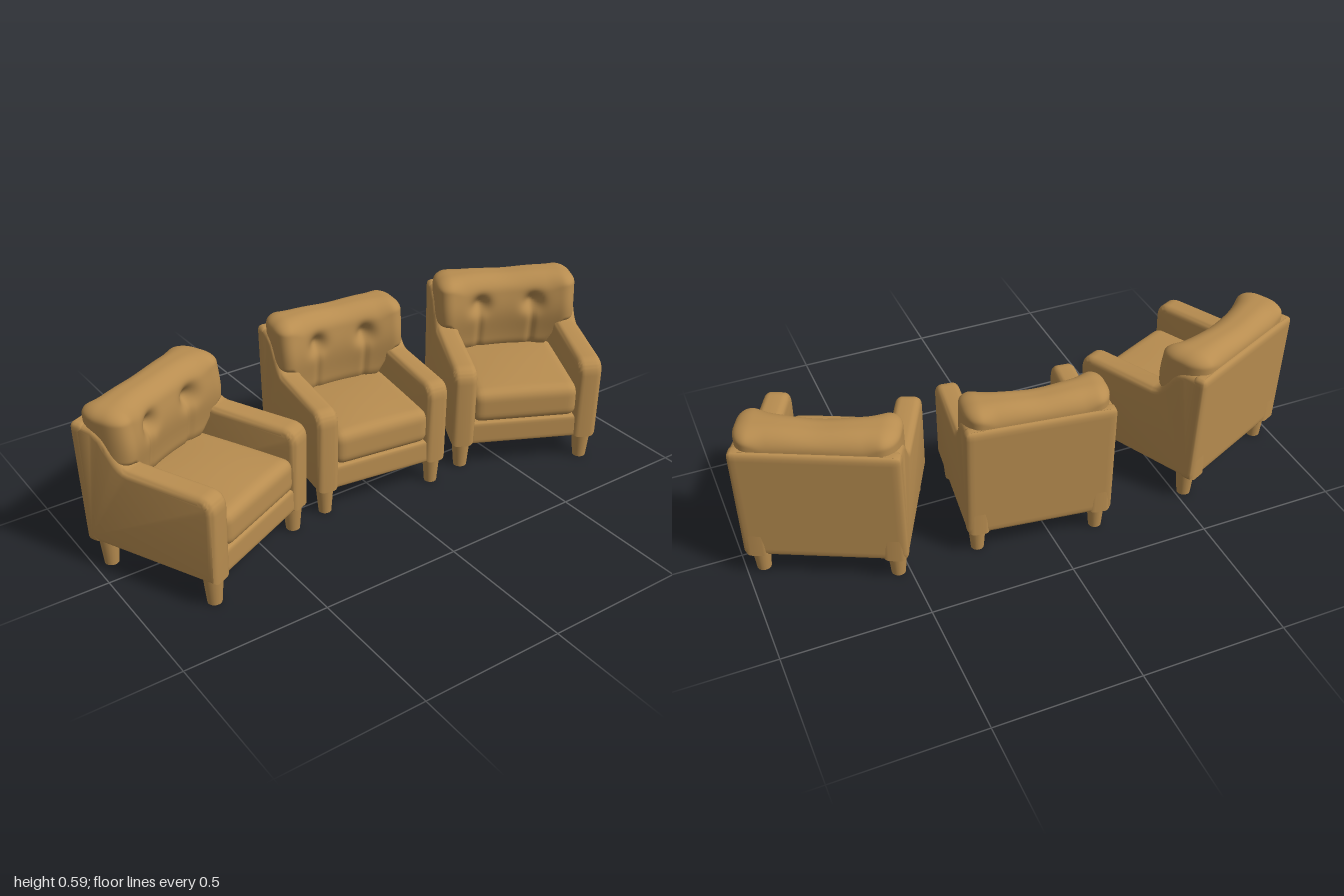
import * as THREE from 'three';
import { mergeVertices, toCreasedNormals } from 'three/addons/utils/BufferGeometryUtils.js';

const fabric = new THREE.MeshStandardMaterial({ color: 0xb88d50 });
fabric.name = 'tan';

const smooth = THREE.MathUtils.smoothstep;
const clamp = THREE.MathUtils.clamp;

// Rounded, finely divided block centred at (cx, cy, cz), reshaped by an optional rule
function softBox([w, h, d], [cx, cy, cz], r, [sx, sy, sz], rule) {
  let geo = new THREE.BoxGeometry(w, h, d, sx, sy, sz);
  geo.deleteAttribute('uv');
  geo.deleteAttribute('normal');
  geo = mergeVertices(geo, 1e-5);
  const pos = geo.attributes.position;
  const p = new THREE.Vector3(), core = new THREE.Vector3();
  for (let i = 0; i < pos.count; i++) {
    p.fromBufferAttribute(pos, i);
    core.set(
      clamp(p.x, r - w / 2, w / 2 - r),
      clamp(p.y, r - h / 2, h / 2 - r),
      clamp(p.z, r - d / 2, d / 2 - r)
    );
    p.sub(core).setLength(r).add(core);
    p.x += cx; p.y += cy; p.z += cz;
    if (rule) rule(p);
    pos.setXYZ(i, p.x, p.y, p.z);
  }
  geo.computeVertexNormals();
  return geo;
}

// Side panel: low arm sweeping up to the back, drawn in z-y and extruded along x
function armGeometry() {
  const s = new THREE.Shape();
  s.moveTo(-0.25, 0.095);
  s.lineTo(0.255, 0.095);
  s.lineTo(0.262, 0.35);
  s.quadraticCurveTo(0.262, 0.405, 0.21, 0.407);
  s.lineTo(-0.05, 0.41);
  s.bezierCurveTo(-0.11, 0.415, -0.11, 0.515, -0.18, 0.525);
  s.lineTo(-0.25, 0.53);
  s.closePath();
  const t = 0.088, b = 0.024;
  const geo = new THREE.ExtrudeGeometry(s, {
    depth: t - 2 * b, bevelThickness: b, bevelSize: b, bevelOffset: -b,
    bevelSegments: 5, curveSegments: 12,
  });
  geo.translate(0, 0, b - t / 2);
  geo.rotateY(-Math.PI / 2);
  return toCreasedNormals(geo, 0.8);
}

// Plump seat with a slight crown
const seatGeometry = softBox([0.385, 0.125, 0.40], [0, 0.245, 0.055], 0.035, [28, 12, 28], (p) => {
  const crown = (1 - (p.x / 0.195) ** 2) * (1 - ((p.z - 0.055) / 0.21) ** 2);
  if (p.y > 0.245) p.y += 0.012 * crown;
});

// Tufted back pillow: wings come forward and rest on the arms
const pillowGeometry = softBox([0.525, 0.31, 0.145], [0, 0.435, -0.175], 0.06, [64, 40, 16], (p) => {
  const front = clamp((p.z + 0.2475) / 0.145, 0, 1);
  const ax = Math.abs(p.x);
  p.y = 0.59 - (0.59 - p.y) * (1 - 0.36 * smooth(ax, 0.15, 0.22));
  const belly = Math.exp(-(((p.y - 0.46) / 0.09) ** 2));
  const dimple = Math.exp(-((ax - 0.1) ** 2 + (p.y - 0.485) ** 2) / 0.0011);
  const crease = Math.exp(-(((ax - 0.1) / 0.012) ** 2)) * smooth(0.485 - p.y, 0, 0.06);
  p.z += front * (0.05 * (ax / 0.26) ** 2 + 0.018 * belly - 0.04 * dimple - 0.008 * crease);
  p.y -= 0.006 * smooth(p.y, 0.54, 0.59) * Math.exp(-((p.x / 0.08) ** 2));
});

// Back panel leaning slightly outward at the top
const backGeometry = softBox([0.54, 0.435, 0.05], [0, 0.3125, -0.222], 0.015, [36, 30, 6], (p) => {
  p.z -= 0.035 * (p.y - 0.095);
});

const railGeometry = softBox([0.42, 0.09, 0.47], [0, 0.14, 0.012], 0.012, [30, 10, 30]);
const sideGeometry = armGeometry();
const legGeometry = new THREE.CylinderGeometry(0.033, 0.024, 0.1, 20);

function part(name, geo, x = 0, y = 0, z = 0) {
  const m = new THREE.Mesh(geo, fabric);
  m.name = name;
  m.position.set(x, y, z);
  return m;
}

function armchair(name) {
  const chair = new THREE.Group();
  chair.name = name;
  chair.add(
    part('baseFrame', railGeometry),
    part('backPanel', backGeometry),
    part('seatCushion', seatGeometry),
    part('backCushion', pillowGeometry)
  );
  for (const side of [-1, 1]) {
    const label = side > 0 ? 'left' : 'right';
    chair.add(part(label + 'Arm', sideGeometry, side * 0.226));
    chair.add(part(label + 'FrontLeg', legGeometry, side * 0.226, 0.05, 0.215));
    chair.add(part(label + 'BackLeg', legGeometry, side * 0.226, 0.05, -0.195));
  }
  return chair;
}

export function createModel() {
  const model = new THREE.Group();
  model.name = 'armchairs';
  // name, x, z, turn, footprint scale
  const layout = [
    ['rightArmchair', -0.655, -0.02, 0.44, 1],
    ['middleArmchair', 0.02, -0.115, -0.13, 0.93],
    ['leftArmchair', 0.653, -0.002, -0.46, 1],
  ];
  for (const [name, x, z, turn, scale] of layout) {
    const chair = armchair(name);
    chair.position.set(x, 0, z);
    chair.rotation.y = turn;
    chair.scale.set(scale, 1, scale);
    model.add(chair);
  }
  return model;
}
